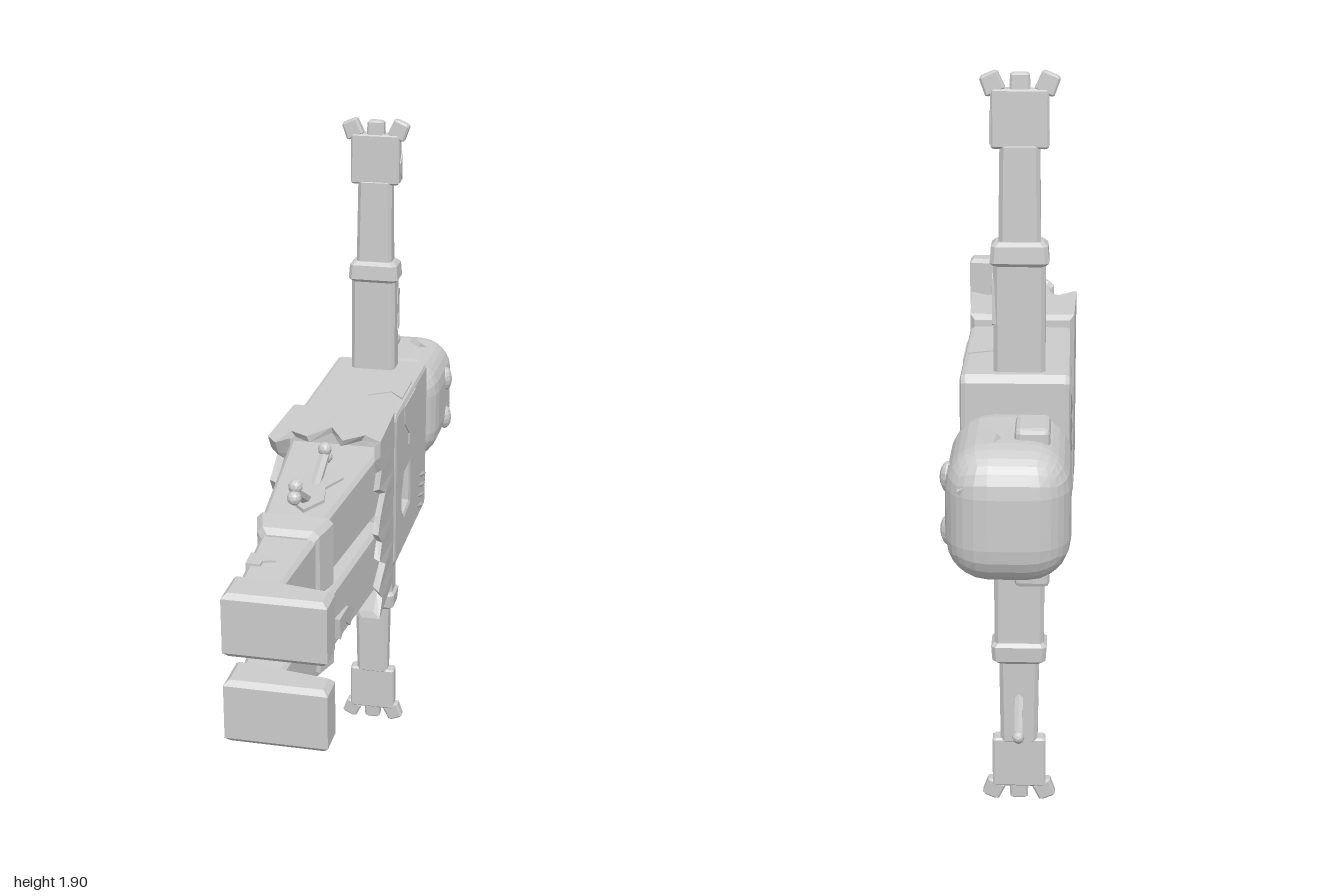
import * as THREE from 'three';
import { RoundedBoxGeometry } from 'three/addons/geometries/RoundedBoxGeometry.js';

const mat = new THREE.MeshStandardMaterial({ color: 0xcccccc, flatShading: true, side: THREE.DoubleSide });

function add(parent, name, geo, x = 0, y = 0, z = 0) {
  const m = new THREE.Mesh(geo, mat);
  m.name = name;
  m.position.set(x, y, z);
  parent.add(m);
  return m;
}

// Skin a list of rings (arrays of [x, y, z], counter-clockwise seen from +z)
function loft(rings, capEnd = true) {
  const pos = [], n = rings[0].length;
  const tri = (a, b, c) => pos.push(...a, ...b, ...c);
  for (let k = 0; k < rings.length - 1; k++) {
    const A = rings[k], B = rings[k + 1];
    for (let i = 0; i < n; i++) {
      const j = (i + 1) % n;
      tri(A[i], A[j], B[j]);
      tri(A[i], B[j], B[i]);
    }
  }
  const S = rings[0], E = rings[rings.length - 1];
  for (let i = 1; i < n - 1; i++) {
    tri(S[0], S[i + 1], S[i]);
    if (capEnd) tri(E[0], E[i], E[i + 1]);
  }
  const g = new THREE.BufferGeometry();
  g.setAttribute('position', new THREE.Float32BufferAttribute(pos, 3));
  g.computeVertexNormals();
  return g;
}

// Bevelled tapering block along z; rectangles are [x0, x1, y0, y1]
function block(z0, z1, r0, r1 = r0, c = 0.01) {
  const ring = (z, r, inset) => {
    const [x0, x1, y0, y1] = [r[0] + inset, r[1] - inset, r[2] + inset, r[3] - inset];
    return [[x1, y0 + c], [x1, y1 - c], [x1 - c, y1], [x0 + c, y1], [x0, y1 - c], [x0, y0 + c], [x0 + c, y0], [x1 - c, y0]]
      .map(([x, y]) => [x, y, z]);
  };
  return loft([ring(z0, r0, c), ring(z0 + c, r0, 0), ring(z1 - c, r1, 0), ring(z1, r1, c)]);
}

const shapeOf = pts => new THREE.Shape(pts.map(p => new THREE.Vector2(...p)));

// Slab facing x: outline is (-z, y), from x0 to x1
function slabX(shape, x0, x1, bevel = 0) {
  return new THREE.ExtrudeGeometry(shape, {
    depth: x1 - x0 - 2 * bevel, bevelEnabled: bevel > 0, bevelSize: bevel, bevelThickness: bevel,
    bevelOffset: -bevel, bevelSegments: 2, steps: 1
  }).translate(0, 0, x0 + bevel).rotateY(Math.PI / 2);
}

// Slab facing y: outline is (x, z), from y0 to y1
function slabY(shape, y0, y1, bevel = 0) {
  return new THREE.ExtrudeGeometry(shape, {
    depth: y1 - y0 - 2 * bevel, bevelEnabled: bevel > 0, bevelSize: bevel, bevelThickness: bevel,
    bevelOffset: -bevel, bevelSegments: 1, steps: 1
  }).translate(0, 0, -y1 + bevel).rotateX(Math.PI / 2);
}

// Bone with two knobs at its far end
function bone(parent, from, to, r) {
  const a = new THREE.Vector3(...from), b = new THREE.Vector3(...to), d = b.clone().sub(a);
  const g = new THREE.Group();
  g.name = 'brokenBone';
  g.position.copy(a);
  g.quaternion.setFromUnitVectors(new THREE.Vector3(0, 1, 0), d.clone().normalize());
  add(g, 'boneShaft', new THREE.CylinderGeometry(r, r, d.length(), 6), 0, d.length() / 2);
  for (const s of [-1, 1]) add(g, 'boneKnob', new THREE.IcosahedronGeometry(r * 1.3, 1), 0, d.length(), s * r);
  parent.add(g);
}

function makeHead(root) {
  const head = new THREE.Group();
  head.name = 'head';
  add(head, 'skull', new RoundedBoxGeometry(0.285, 0.32, 0.395, 3, 0.1), -0.022, 0.97, -0.8);
  for (const s of [-1, 1]) {
    add(head, 'ear', new RoundedBoxGeometry(0.08, 0.06, 0.12, 1, 0.012), -0.075, 0.963 + s * 0.162, -0.815);
    add(head, 'eye', new THREE.SphereGeometry(1, 10, 8).scale(0.02, 0.037, 0.027), 0.117, 0.963 + s * 0.064, -0.835);
  }
  // torn plate over the brow corner
  const wound = add(head, 'headWound', slabY(shapeOf([[-0.06, 0.05], [-0.02, -0.08], [0.04, -0.09], [0.03, -0.04], [0.07, 0.02], [0.02, 0.05], [-0.02, 0.09]]), -0.01, 0.01), 0.05, 1.088, -0.9);
  wound.rotation.set(-0.4, 0, -0.55);
  const neck = new THREE.LatheGeometry([[0.068, -0.64], [0.058, -0.6], [0.054, -0.57], [0.065, -0.53]].map(p => new THREE.Vector2(...p)), 10);
  add(head, 'neck', neck.rotateX(Math.PI / 2), -0.025, 0.97, 0);
  root.add(head);
}

function makeTorso(root) {
  const torso = new THREE.Group();
  torso.name = 'torso';
  const c = 0.018;
  const s = shapeOf([[0.065 + c, 0.72], [0.545 - c, 0.72], [0.545, 0.72 + c], [0.545, 1.18 - c], [0.545 - c, 1.18], [0.065 + c, 1.18], [0.065, 1.18 - c], [0.065, 0.72 + c]]);
  s.holes.push(new THREE.Path([[0.17, 0.9], [0.2, 0.955], [0.275, 0.955], [0.28, 0.845], [0.205, 0.835], [0.175, 0.865]].map(p => new THREE.Vector2(...p))));
  add(torso, 'chest', slabX(s, -0.16, 0.11, 0.014));
  add(torso, 'cavityFloor', new THREE.BoxGeometry(0.2, 0.22, 0.24), -0.0595, 0.9, -0.23);
  for (const y of [0.875, 0.915]) add(torso, 'rib', new THREE.BoxGeometry(0.03, 0.018, 0.13), 0.06, y, -0.225);
  add(torso, 'chestTear', slabX(shapeOf([[0.18, 1.165], [0.345, 1.165], [0.33, 1.045], [0.25, 1.03], [0.255, 1.06], [0.19, 1.11]]), 0.1, 0.113));
  add(torso, 'shoulderTear', slabY(shapeOf([[0.1, -0.35], [0.1, -0.2], [0.06, -0.25], [0, -0.21], [-0.01, -0.26], [0.03, -0.27], [0.03, -0.32]]), 1.17, 1.183));
  add(torso, 'sideBite', slabY(shapeOf([[0.09, -0.1], [0.09, -0.28], [0.02, -0.27], [-0.03, -0.19], [0.02, -0.1]]), 0.717, 0.73));
  // claw marks on chest and back
  const claw = (x, y, z, len, tilt) => {
    const m = add(torso, 'clawMark', new THREE.OctahedronGeometry(1).scale(0.004, 0.009, len / 2), x, y, z);
    m.rotation.x = tilt;
  };
  for (let i = 0; i < 4; i++) {
    claw(0.111, 0.755 + i * 0.03, -0.455 - i * 0.008, 0.14, -0.3);
    claw(-0.161, 0.86 + i * 0.05, -0.28 + i * 0.015, 0.2, 0.65);
  }
  add(torso, 'waist', block(-0.075, -0.02, [-0.15, 0.1, 0.735, 1.17]));
  root.add(torso);
}

// Hips with a ragged hem
function makeHips(root) {
  const hips = new THREE.Group();
  hips.name = 'hips';
  const ring = (x0, x1, y0, y1, zOf) => {
    const out = [], nx = 6, ny = 12;
    const side = (ax, ay, bx, by, n) => {
      for (let i = 0; i < n; i++) out.push([ax + (bx - ax) * i / n, ay + (by - ay) * i / n]);
    };
    side(x1, y0, x1, y1, ny);
    side(x1, y1, x0, y1, nx);
    side(x0, y1, x0, y0, ny);
    side(x0, y0, x1, y0, nx);
    return out.map(([x, y], i) => [x, y, zOf(i)]);
  };
  const hem = [0.2, 0.16, 0.21, 0.12, 0.2, 0.17, 0.22, 0.19, 0.13, 0.21, 0.18, 0.2];
  const ragged = i => hem[i % 12];
  const inner = i => ragged(i) - 0.005;
  add(hips, 'raggedShorts', loft([
    ring(-0.155, 0.1, 0.71, 1.19, () => -0.05), ring(-0.167, 0.112, 0.7, 1.203, () => -0.035),
    ring(-0.172, 0.122, 0.697, 1.206, ragged), ring(-0.155, 0.105, 0.715, 1.188, inner),
    ring(-0.15, 0.1, 0.72, 1.18, () => 0.08)
  ]));
  root.add(hips);
}

function makeLeg(root, cy, upper) {
  const leg = new THREE.Group();
  leg.name = upper ? 'leftLeg' : 'rightLeg';
  const r = (x0, x1, h) => [x0, x1, cy - h, cy + h];
  add(leg, 'thigh', block(0.06, 0.6, r(-0.15, 0.105, 0.087), r(-0.093, 0.06, 0.08)));
  add(leg, 'knee', block(0.56, 0.66, r(-0.105, 0.085, 0.093), r(-0.085, 0.068, 0.088), 0.014));
  add(leg, 'shin', block(0.64, 0.91, r(-0.075, 0.06, 0.07), r(-0.058, 0.042, 0.066)));
  add(leg, 'foot', slabY(shapeOf([[-0.072, 0.89], [-0.01, 0.895], [0.17, 0.925], [0.17, 1], [-0.072, 1]]), cy - 0.079, cy + 0.079, 0.012));
  if (upper) {
    add(leg, 'thighWound', slabY(shapeOf([[-0.02, 0.22], [0.05, 0.31], [0.02, 0.38], [0.035, 0.46], [0, 0.53], [-0.06, 0.46], [-0.04, 0.42], [-0.055, 0.33]]), cy + 0.07, cy + 0.09));
    bone(leg, [-0.012, 1.12, 0.4], [-0.012, 1.185, 0.25], 0.014);
    bone(leg, [-0.012, 1.12, 0.42], [-0.012, 1.205, 0.565], 0.014);
    add(leg, 'shinTear', slabY(shapeOf([[-0.068, 0.76], [-0.02, 0.77], [0, 0.79], [-0.03, 0.8], [-0.03, 0.82], [-0.065, 0.82]]), cy + 0.055, cy + 0.073));
  } else {
    add(leg, 'thighTear', slabX(shapeOf([[-0.5, 0.84], [-0.4, 0.83], [-0.33, 0.79], [-0.38, 0.765], [-0.43, 0.8], [-0.49, 0.78]]), 0.06, 0.083));
  }
  root.add(leg);
}

// Arm built along +z, then turned to point up or down
function makeArm(root, up) {
  const arm = new THREE.Group();
  arm.name = up ? 'leftArm' : 'rightArm';
  const r = (w, d) => [-w, w, -d, d];
  add(arm, 'upperArm', block(0.18, 0.51, r(0.063, 0.036)));
  add(arm, 'elbow', block(0.49, 0.55, r(0.071, 0.045), r(0.068, 0.042)));
  add(arm, 'forearm', block(0.53, 0.785, r(0.051, 0.03), r(0.048, 0.024)));
  add(arm, 'hand', block(0.77, 0.91, r(0.069, 0.022), r(0.069, 0.02), 0.005));
  for (const i of [-1, 0, 1]) {
    const f = add(arm, 'finger', block(-0.025, 0.025, r(0.025, 0.017), r(0.023, 0.015), 0.005), i * 0.066, 0, 0.922);
    f.rotation.y = i * 0.4;
  }
  arm.position.set(-0.034, 0.95, -0.472);
  arm.rotation.x = up ? -Math.PI / 2 : Math.PI / 2;
  root.add(arm);
  if (up) {
    add(root, 'armTear', slabX(shapeOf([[0.478, 1.42], [0.5, 1.41], [0.505, 1.3], [0.48, 1.29], [0.49, 1.34], [0.475, 1.37]]), 0.015, 0.032));
    add(root, 'handTear', slabX(shapeOf([[0.467, 1.78], [0.49, 1.81], [0.488, 1.73], [0.475, 1.75]]), 0.02, 0.038));
  } else {
    bone(root, [-0.034, 0.32, -0.48], [-0.034, 0.215, -0.55], 0.012);
  }
}

export function createModel() {
  const root = new THREE.Group();
  root.name = 'lyingFigure';
  makeHead(root);
  makeTorso(root);
  makeHips(root);
  for (const up of [true, false]) {
    makeLeg(root, up ? 1.056 : 0.838, up);
    makeArm(root, up);
  }
  return root;
}
